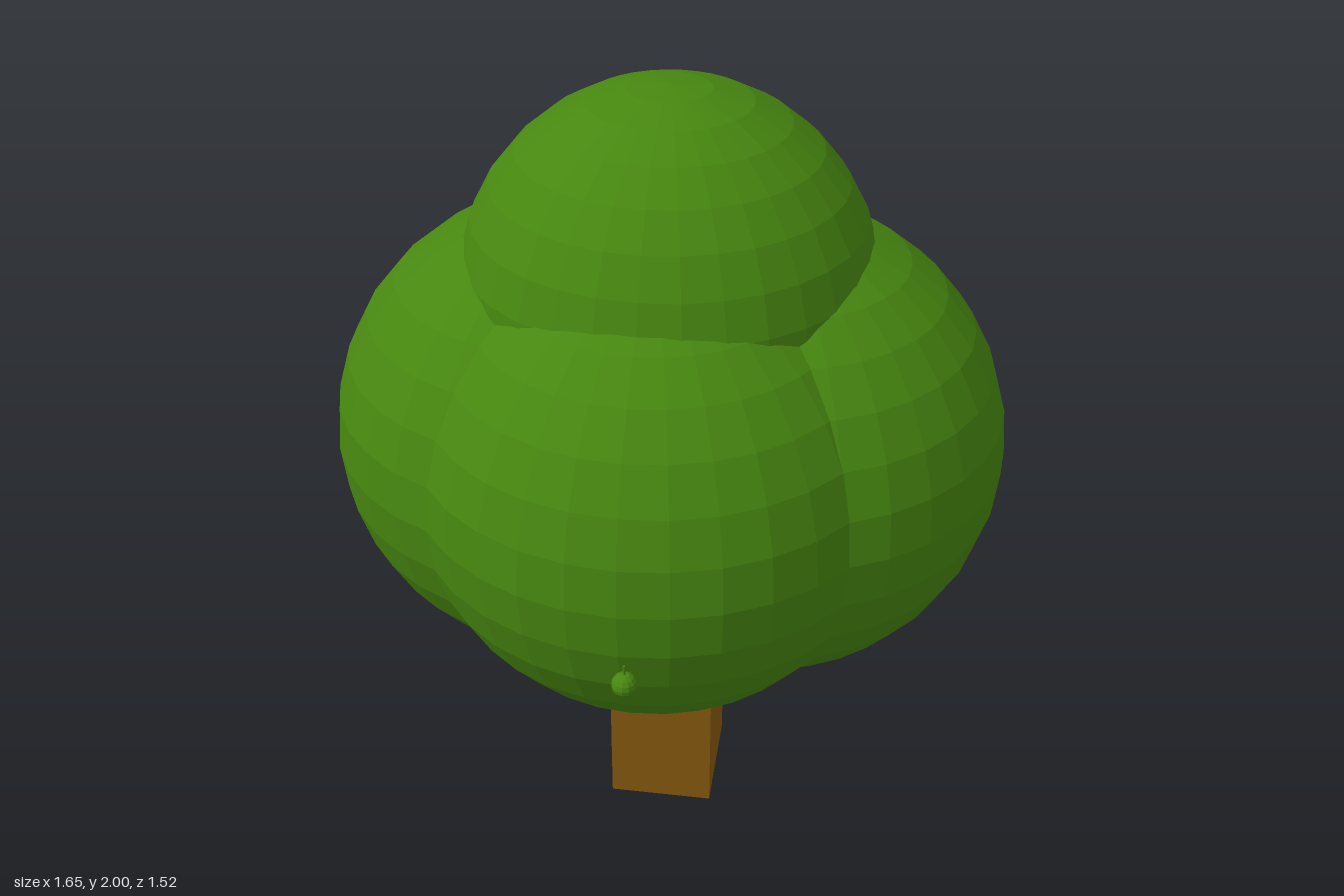
import * as THREE from 'three';

export function createModel() {
  const tree = new THREE.Group();
  tree.name = 'tree';

  const leafGreen = new THREE.MeshStandardMaterial({ color: 0x478710, flatShading: true });
  leafGreen.name = 'leafGreen';
  const barkBrown = new THREE.MeshStandardMaterial({ color: 0x875a0e, flatShading: true });
  barkBrown.name = 'barkBrown';

  const add = (name, geometry, material, x, y, z) => {
    const mesh = new THREE.Mesh(geometry, material);
    mesh.name = name;
    mesh.position.set(x, y, z);
    tree.add(mesh);
    return mesh;
  };

  // Square trunk, running up into the crown
  add('trunk', new THREE.BoxGeometry(0.272, 0.8, 0.303), barkBrown, 0, 0.4, -0.038);

  // Four equal lobes around the trunk and a smaller one on top
  const lobe = new THREE.SphereGeometry(0.585, 32, 16);
  add('leftLobe', lobe, leafGreen, 0.24, 1.113, -0.042);
  add('rightLobe', lobe, leafGreen, -0.24, 1.113, -0.042);
  add('frontLobe', lobe, leafGreen, 0, 1.113, 0.156);
  add('backLobe', lobe, leafGreen, 0, 1.113, -0.174);
  add('topLobe', new THREE.SphereGeometry(0.5, 32, 16), leafGreen, 0, 1.5, -0.045);

  // Small fruit with a stem on the front lobe
  add('fruit', new THREE.SphereGeometry(0.029, 12, 8), leafGreen, 0.014, 0.926, 0.732);
  add('fruitStem', new THREE.CylinderGeometry(0.003, 0.003, 0.03, 6), leafGreen, 0.014, 0.962, 0.732);

  return tree;
}
